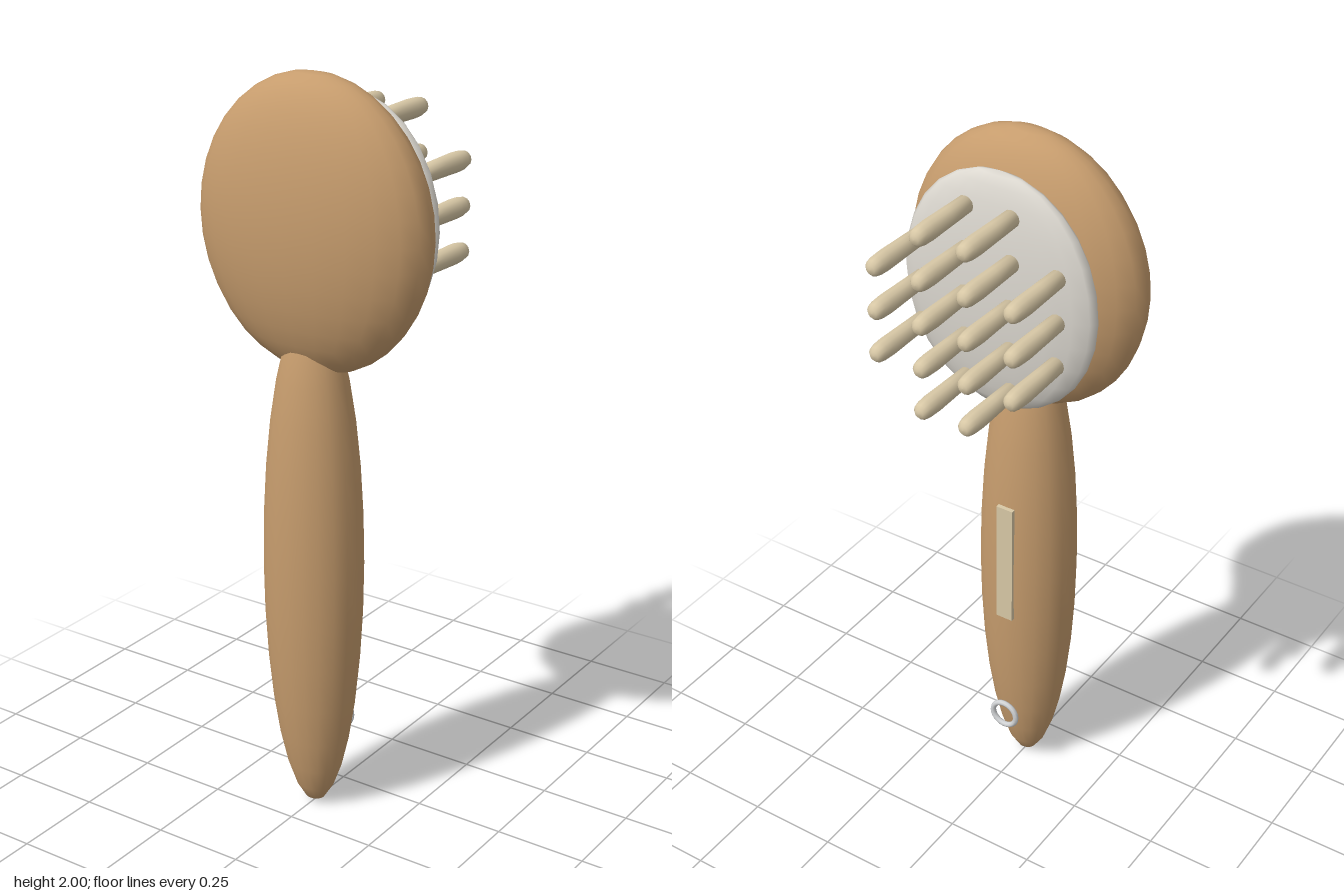
import * as THREE from 'three';

export function createModel() {
  const group = new THREE.Group();
  group.name = 'paddleBrush';

  const material = (name, color) => {
    const m = new THREE.MeshStandardMaterial({ color });
    m.name = name;
    return m;
  };
  const wood = material('wood', 0xc69c6d);
  const cushion = material('cushion', 0xdcd8d0);
  const ivory = material('ivory', 0xd8c8a6);
  const metal = material('metal', 0xd2d4d6);

  const add = (name, geometry, mat, x, y, z) => {
    const mesh = new THREE.Mesh(geometry, mat);
    mesh.name = name;
    mesh.position.set(x, y, z);
    group.add(mesh);
    return mesh;
  };
  const ellipsoid = (rx, ry, rz, w, h) => new THREE.SphereGeometry(1, w, h).scale(rx, ry, rz);

  // Wooden body
  add('head', ellipsoid(0.338, 0.38, 0.138, 24, 18), wood, 0, 1.62, 0.125);
  add('handle', ellipsoid(0.138, 0.715, 0.118, 20, 16), wood, 0, 0.715, 0.137);

  // Cushion on the back of the head
  add('cushionPad', ellipsoid(0.28, 0.327, 0.06, 20, 14), cushion, 0, 1.613, -0.005);

  // Round-tipped bristles in a grid clipped to the oval pad
  const profile = [
    [0, 0], [0.0235, 0], [0.025, 0.08], [0.0265, 0.15],
    [0.025, 0.18], [0.021, 0.199], [0.012, 0.208], [0, 0.209],
  ].map(([r, h]) => new THREE.Vector2(r, h));
  const bristle = new THREE.LatheGeometry(profile, 12).rotateX(-Math.PI / 2);
  for (let col = 0; col < 4; col++) {
    for (let row = -2; row <= 2; row++) {
      const x = (col - 1.5) * 0.13;
      if (Math.hypot(x / 0.28, (row * 0.12) / 0.327) > 0.9) continue;
      add('bristle', bristle, ivory, x, 1.615 + row * 0.12, -0.057);
    }
  }

  // Inlay strip and hanging ring on the back of the handle
  add('inlayStrip', new THREE.BoxGeometry(0.05, 0.37, 0.012), ivory, 0, 0.755, 0.02);
  add('hangingRing', new THREE.TorusGeometry(0.038, 0.008, 8, 24), metal, 0, 0.215, 0.017);

  return group;
}
